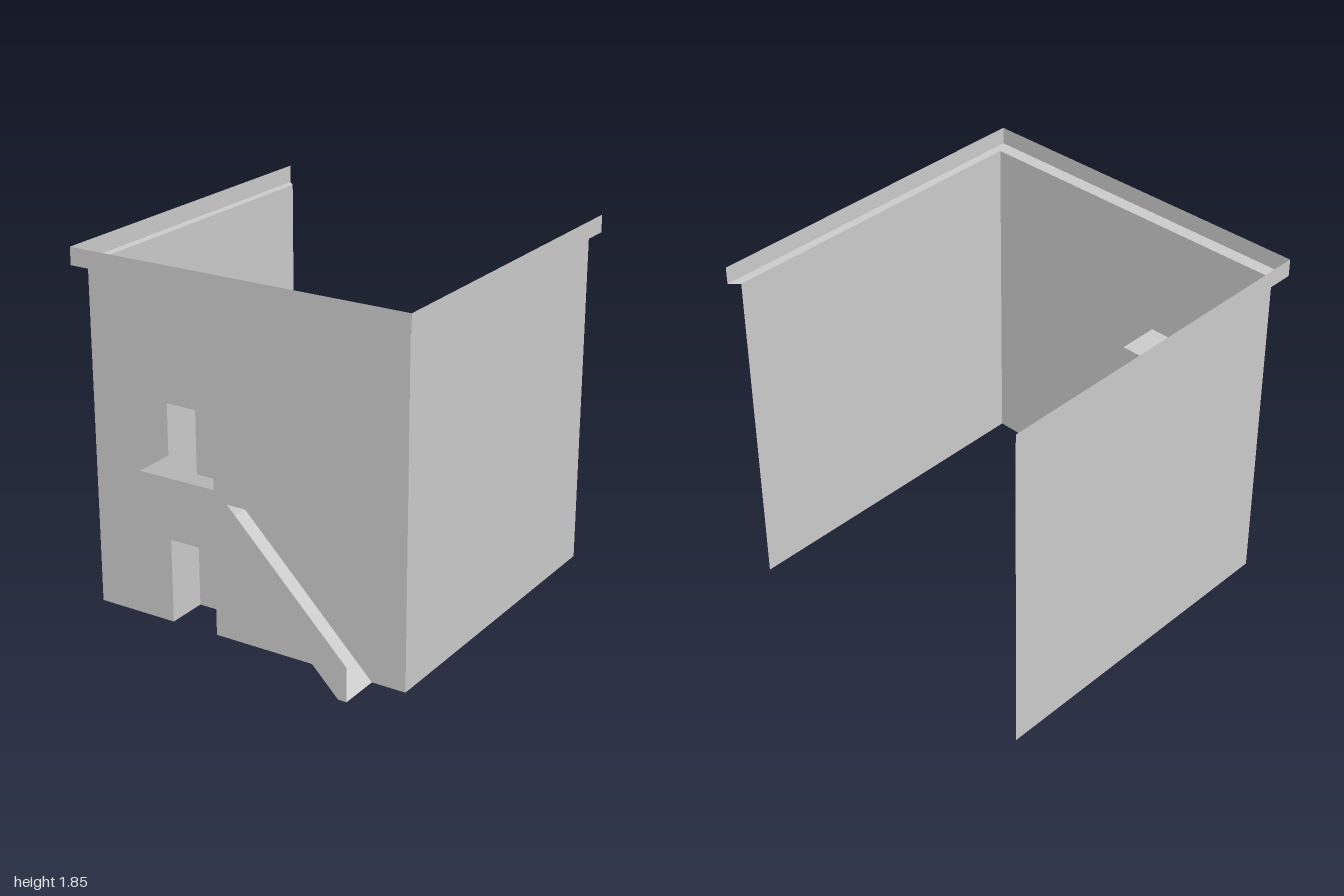
import * as THREE from 'three';

const material = new THREE.MeshStandardMaterial({ color: 0xcccccc, side: THREE.DoubleSide, flatShading: true });

// Flat-faced strip spanned between two matching rows of points.
function strip(name, a, b) {
  const pos = [];
  for (let i = 0; i < a.length - 1; i++) {
    pos.push(...a[i], ...a[i + 1], ...b[i + 1], ...a[i], ...b[i + 1], ...b[i]);
  }
  const g = new THREE.BufferGeometry();
  g.setAttribute('position', new THREE.Float32BufferAttribute(pos, 3));
  g.computeVertexNormals();
  const mesh = new THREE.Mesh(g, material);
  mesh.name = name;
  return mesh;
}

// Flat panel from an xy outline, facing +z at the given depth.
function panel(name, outline, z, holes = []) {
  const toPoints = (list) => list.map(([x, y]) => new THREE.Vector2(x, y));
  const shape = new THREE.Shape(toPoints(outline));
  holes.forEach((h) => shape.holes.push(new THREE.Path(toPoints(h))));
  const mesh = new THREE.Mesh(new THREE.ShapeGeometry(shape), material);
  mesh.name = name;
  mesh.position.z = z;
  return mesh;
}

export function createModel() {
  const model = new THREE.Group();
  model.name = 'building';

  const W = 0.88, H = 1.76, front = 0.78, back = -0.955; // walls
  const TW = 0.925, TH = 1.85, tFront = 0.85, tBack = -1; // cornice
  const dl = -0.44, dr = -0.18, doorH = 0.44, recess = 0.56; // doorways
  const floorY = 0.705, outer = 1; // landing

  // Front wall with a ground doorway and an upper doorway
  model.add(panel('frontWall',
    [[-W, 0], [dl, 0], [dl, doorH], [dr, doorH], [dr, 0], [W, 0], [W, H], [-W, H]], front,
    [[[dl, floorY], [dl, floorY + doorH], [dr, floorY + doorH], [dr, floorY]]]));

  // Side walls; the back is open
  for (const [name, s] of [['leftWall', 1], ['rightWall', -1]]) {
    const lower = [[s * W, 0, front], [s * W, 0, back]];
    const upper = lower.map(([x, , z]) => [x, H, z]);
    model.add(s > 0 ? strip(name, lower, upper) : strip(name, upper, lower));
  }

  // Cornice: a ledge projecting from the wall tops and an upright fascia
  const path = (w, y, f, b) => [[-w, y, b], [-w, y, f], [w, y, f], [w, y, b]];
  const cornice = new THREE.Group();
  cornice.name = 'cornice';
  cornice.add(
    strip('corniceLedge', path(W, H, front, back), path(TW, H, tFront, tBack)),
    strip('corniceFascia', path(TW, H, tFront, tBack), path(TW, TH, tFront, tBack)));
  model.add(cornice);

  // Doorway recesses: jambs and lintel, closed at the rear, without a floor
  for (const [name, y] of [['lowerDoorway', 0], ['upperDoorway', floorY]]) {
    const frame = (z) => [[dl, y, z], [dl, y + doorH, z], [dr, y + doorH, z], [dr, y, z]];
    const doorway = new THREE.Group();
    doorway.name = name;
    doorway.add(
      strip('doorFrame', frame(front), frame(recess)),
      panel('doorBack', [[dl, y], [dr, y], [dr, y + doorH], [dl, y + doorH]], recess));
    model.add(doorway);
  }

  // Landing and ramp: parapets, walking surface and underside
  const ramp = new THREE.Group();
  ramp.name = 'landingAndRamp';
  const under = 0.66, rail = 0.88, end = 0.7;
  const row = (points, z) => points.map(([x, y]) => [x, y, z]);
  const deck = [[dl, floorY], [0, floorY], [end, 0]];
  const soffit = [[end - 0.045, 0], [0, under], [dl, under]];
  ramp.add(
    panel('frontParapet',
      [[dl, under], [0, under], [end - 0.045, 0], [end, 0], [end, 0.175], [0, rail], [dl, rail]], outer),
    strip('endParapet', [[dl, under, front], [dl, under, outer]], [[dl, rail, front], [dl, rail, outer]]),
    strip('walkway', row(deck, outer), row(deck, front)),
    strip('walkwayUnderside', row(soffit, outer), row(soffit, front)));
  model.add(ramp);

  return model;
}
